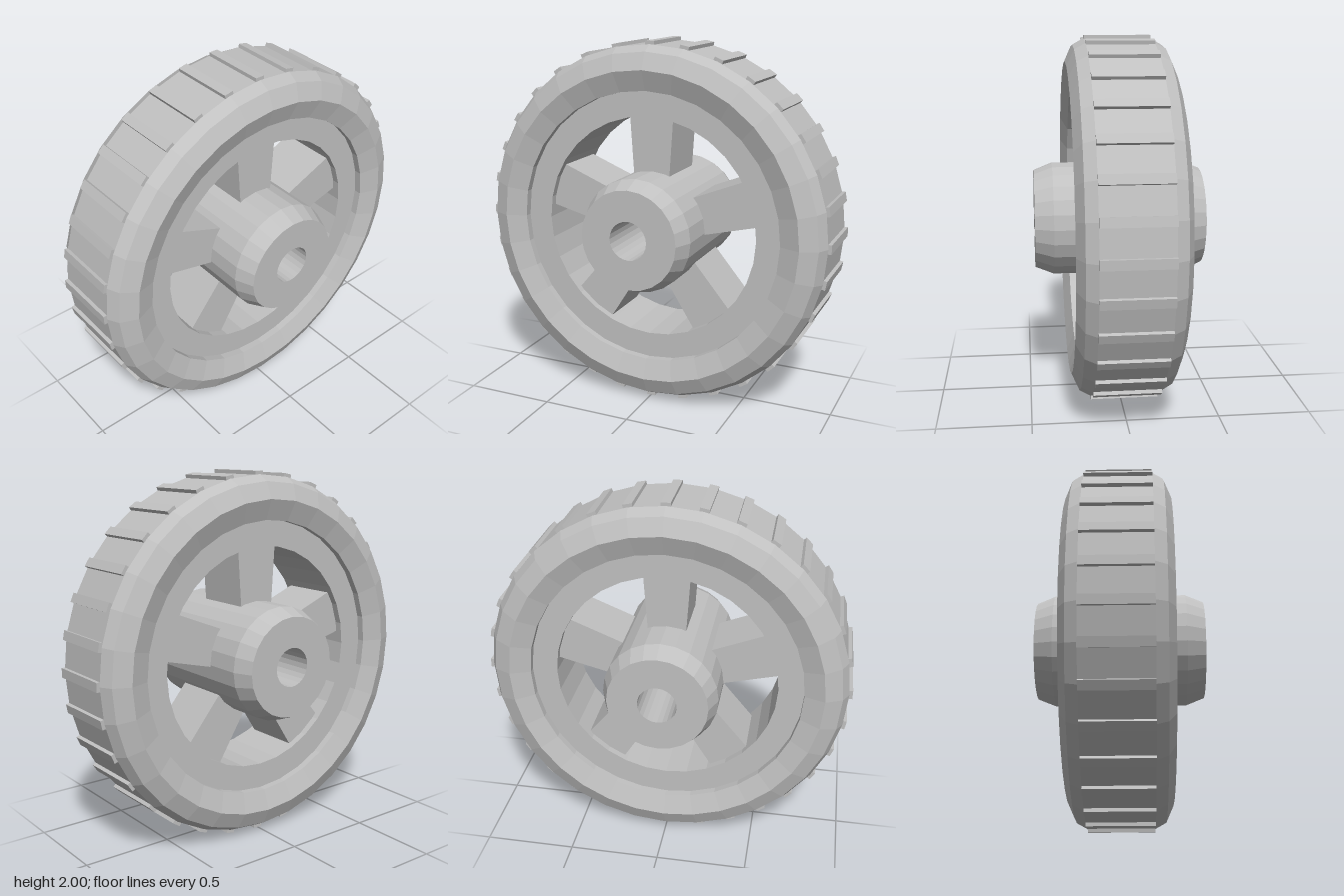
import * as THREE from 'three';

const grey = new THREE.MeshStandardMaterial({ color: 0xc0c0c0, flatShading: true });
grey.name = 'light grey';

// Revolves [radius, z] points around the z axis
function revolve(name, points, segments) {
  const geometry = new THREE.LatheGeometry(points.map(([r, z]) => new THREE.Vector2(r, z)), segments);
  geometry.rotateX(Math.PI / 2);
  const mesh = new THREE.Mesh(geometry, grey);
  mesh.name = name;
  return mesh;
}

// Repeats a part, modelled pointing up, around the axle
function ring(name, geometry, count) {
  const group = new THREE.Group();
  group.name = name + 's';
  for (let i = 0; i < count; i++) {
    const mesh = new THREE.Mesh(geometry, grey);
    mesh.name = name;
    mesh.rotation.z = (i / count) * Math.PI * 2;
    group.add(mesh);
  }
  return group;
}

export function createModel() {
  const wheel = new THREE.Group();
  wheel.name = 'wheel';

  // Tyre with bevelled shoulders and dished inner lips
  wheel.add(revolve('tyre', [
    [0.75, -0.2], [0.75, -0.24], [0.86, -0.28], [0.95, -0.24], [0.983, -0.18],
    [0.983, 0.18], [0.95, 0.24], [0.86, 0.28], [0.75, 0.24], [0.75, 0.2],
  ], 32));

  // Flat rim inside the tyre
  wheel.add(revolve('rim', [[0.75, 0.2], [0.61, 0.2], [0.61, -0.2], [0.75, -0.2]], 32));

  // Hub with chamfered ends and a through hole
  wheel.add(revolve('hub', [
    [0.105, -0.46], [0.27, -0.46], [0.31, -0.36], [0.31, 0.36],
    [0.27, 0.46], [0.105, 0.46], [0.105, -0.46],
  ], 24));

  // Five spokes widening towards the rim
  const outline = new THREE.Shape([[-0.102, 0.26], [0.102, 0.26], [0.128, 0.65], [-0.128, 0.65]]
    .map(([x, y]) => new THREE.Vector2(x, y)));
  const spoke = new THREE.ExtrudeGeometry(outline, { depth: 0.32, bevelEnabled: false });
  spoke.translate(0, 0, -0.16);
  wheel.add(ring('spoke', spoke, 5));

  // Tread bars across the running surface
  const bar = new THREE.BoxGeometry(0.05, 0.04, 0.36);
  bar.translate(0, 0.98, 0);
  wheel.add(ring('treadBar', bar, 32));

  wheel.position.y = 1;
  const model = new THREE.Group();
  model.name = 'spokedWheel';
  model.add(wheel);
  return model;
}
